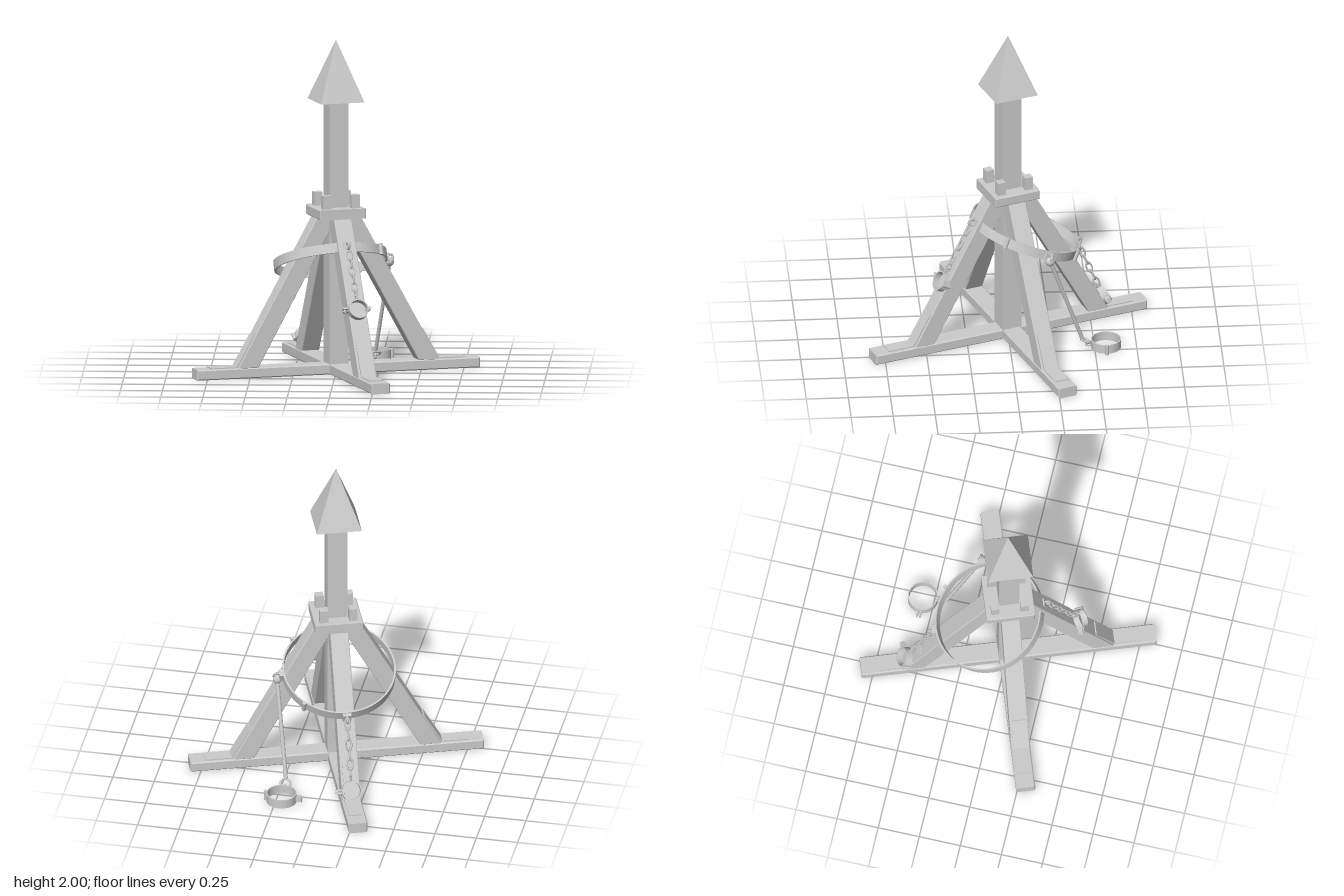
import * as THREE from 'three';

const wood = new THREE.MeshStandardMaterial({ color: 0xcccccc, flatShading: true });
const iron = new THREE.MeshStandardMaterial({ color: 0xcccccc });
const V = (x, y, z) => new THREE.Vector3(x, y, z);

function add(parent, name, geometry, material = wood) {
  const mesh = new THREE.Mesh(geometry, material);
  mesh.name = name;
  parent.add(mesh);
  return mesh;
}

function group(parent, name) {
  const g = new THREE.Group();
  g.name = name;
  parent.add(g);
  return g;
}

// Polygon given as [z, y] pairs, extruded to a width along x with chamfered edges
function slab(points, width, bevel = 0) {
  const shape = new THREE.Shape(points.map(([z, y]) => new THREE.Vector2(-z, y)));
  const geo = new THREE.ExtrudeGeometry(shape, {
    depth: width - 2 * bevel, bevelEnabled: bevel > 0, bevelSegments: 1,
    bevelSize: bevel, bevelThickness: bevel, bevelOffset: -bevel,
  });
  return geo.translate(0, 0, bevel - width / 2).rotateY(Math.PI / 2);
}

// Flat iron hoop around the y axis
function hoop(r, h, t, segments) {
  const p = [[r - t, -h / 2], [r, -h / 2], [r, h / 2], [r - t, h / 2], [r - t, -h / 2]];
  const geo = new THREE.LatheGeometry(p.map(([x, y]) => new THREE.Vector2(x, y)), segments).toNonIndexed();
  geo.computeVertexNormals();
  return geo;
}

// Row of oval links, each turned a quarter against the last
function chain(parent, from, to, count) {
  const g = group(parent, 'chain');
  const dir = to.clone().sub(from);
  const pitch = dir.length() / count;
  g.position.copy(from);
  g.quaternion.setFromUnitVectors(V(0, 1, 0), dir.normalize());
  for (let i = 0; i < count; i++) {
    const link = add(g, 'chainLink', new THREE.TorusGeometry(0.017, 0.005, 6, 14), iron);
    link.scale.y = (pitch / 2 + 0.004) / 0.017;
    link.position.y = (i + 0.5) * pitch;
    link.rotation.y = (i % 2) * Math.PI / 2;
  }
}

// Shackle with hinge (+x), clasp tabs (-x) and a chain eye (-z)
function shackle(parent, r, h) {
  const g = group(parent, 'shackle');
  add(g, 'shackleBand', hoop(r, h, 0.007, 32), wood);
  add(g, 'shackleHinge', new THREE.CylinderGeometry(0.011, 0.011, h + 0.006, 10), iron).position.x = r + 0.005;
  for (const s of [-1, 1]) {
    add(g, 'claspTab', new THREE.BoxGeometry(0.04, h * 0.6, 0.008)).position.set(-r - 0.015, 0, s * 0.009);
  }
  const pin = add(g, 'claspPin', new THREE.CylinderGeometry(0.006, 0.006, 0.034, 8), iron);
  pin.rotation.x = Math.PI / 2;
  pin.position.x = -r - 0.022;
  const eye = add(g, 'shackleEye', new THREE.TorusGeometry(0.016, 0.006, 6, 12), iron);
  eye.rotation.y = Math.PI / 2;
  eye.position.z = -r - 0.012;
  return g;
}

export function createModel() {
  const root = new THREE.Group();
  root.name = 'pillory';
  const body = group(root, 'body');
  const turn = THREE.MathUtils.degToRad(20);
  body.rotation.y = turn;

  // Crossed ground beams
  const beam = [[-0.88, 0], [0.88, 0], [0.88, 0.063], [-0.88, 0.063]].reverse();
  for (const a of [0, Math.PI / 2]) {
    add(body, 'groundBeam', slab(beam, 0.115, 0.007)).rotation.y = a;
  }

  // Post with pointed cap, collar and corner blocks
  add(body, 'post', new THREE.BoxGeometry(0.12, 1.63, 0.12)).position.y = 0.82;
  const cap = add(body, 'pointedCap', new THREE.ConeGeometry(0.135 * Math.SQRT2, 0.365, 4));
  cap.position.y = 1.8175;
  cap.rotation.y = Math.PI / 4;
  const collar = [[-0.144, 0.94], [-0.144, 1], [0.144, 1], [0.144, 0.94]];
  add(body, 'collar', slab(collar, 0.288, 0.005));
  for (const x of [-1, 1]) for (const z of [-1, 1]) {
    add(body, 'cornerBlock', new THREE.BoxGeometry(0.05, 0.08, 0.05)).position.set(x * 0.088, 1.04, z * 0.088);
  }

  // Four slanted braces, each with an iron foot bracket
  const slope = 0.49 / 0.88;
  const outer = y => 0.625 - (y - 0.06) * slope;
  for (let i = 0; i < 4; i++) {
    const leg = group(body, 'brace');
    leg.rotation.y = i * Math.PI / 2;
    add(leg, 'braceBeam', slab([[0.5, 0.06], [0.01, 0.945], [0.135, 0.945], [0.625, 0.06]], 0.11, 0.004));
    const bracket = [[outer(0.25) - 0.01, 0.25], [outer(0.25) + 0.006, 0.254], [0.632, 0.069],
      [0.79, 0.069], [0.79, 0.06], [0.615, 0.06]];
    add(leg, 'footBracket', slab(bracket, 0.085));
  }

  // Tilted hoop with hinges and chain lugs
  const ring = group(body, 'neckRing');
  ring.position.set(0, 0.66, -0.11);
  ring.rotation.x = -0.375;
  add(ring, 'ringBand', hoop(0.338, 0.058, 0.01, 64));
  for (const a of [-1, 1]) {
    const hinge = add(ring, 'ringHinge', new THREE.CylinderGeometry(0.013, 0.013, 0.066, 10), iron);
    hinge.position.set(0.343 * Math.cos(a * Math.PI / 4), 0, 0.343 * Math.sin(a * Math.PI / 4));
  }
  for (let i = 0; i < 3; i++) {
    const lug = group(ring, 'chainLug');
    lug.rotation.y = (i - 1) * Math.PI / 2;
    add(lug, 'lugPlate', new THREE.BoxGeometry(0.03, 0.05, 0.05)).position.x = 0.345;
    const eye = add(lug, 'lugEye', new THREE.TorusGeometry(0.02, 0.008, 6, 14), iron);
    eye.position.x = 0.37;
  }

  // Chained wrist shackles resting on the front and back braces
  for (const [angle, y0, z0, y1, z1] of [[0, 0.765, 0.248, 0.44, 0.43], [Math.PI, 0.525, 0.445, 0.13, 0.615]]) {
    const set = group(body, 'wristShackle');
    set.rotation.y = angle;
    const cuff = shackle(set, 0.06, 0.048);
    cuff.position.set(0, y1, z1);
    cuff.rotation.x = THREE.MathUtils.degToRad(61);
    chain(set, V(0, y0, z0), V(0, y1 + 0.064, z1 - 0.03), 6);
  }

  // Larger shackle on the ground, hung from the side lug by a rod
  const big = shackle(body, 0.09, 0.055);
  big.position.set(0.397, 0.031, -0.46);
  big.rotation.set(Math.PI, turn, 0);
  const top = V(0.37, 0.64, -0.11), foot = V(0.35, 0.07, -0.325);
  add(body, 'hangingRod', new THREE.TubeGeometry(new THREE.LineCurve3(top, foot), 1, 0.012, 8), iron);
  add(body, 'rodKnob', new THREE.SphereGeometry(0.028, 10, 8), iron).position.set(0.368, 0.635, -0.11);
  const link = add(body, 'rodLink', new THREE.TorusGeometry(0.03, 0.007, 6, 16), iron);
  link.position.set(0.355, 0.05, -0.345);
  link.rotation.x = 1.1;

  return root;
}
